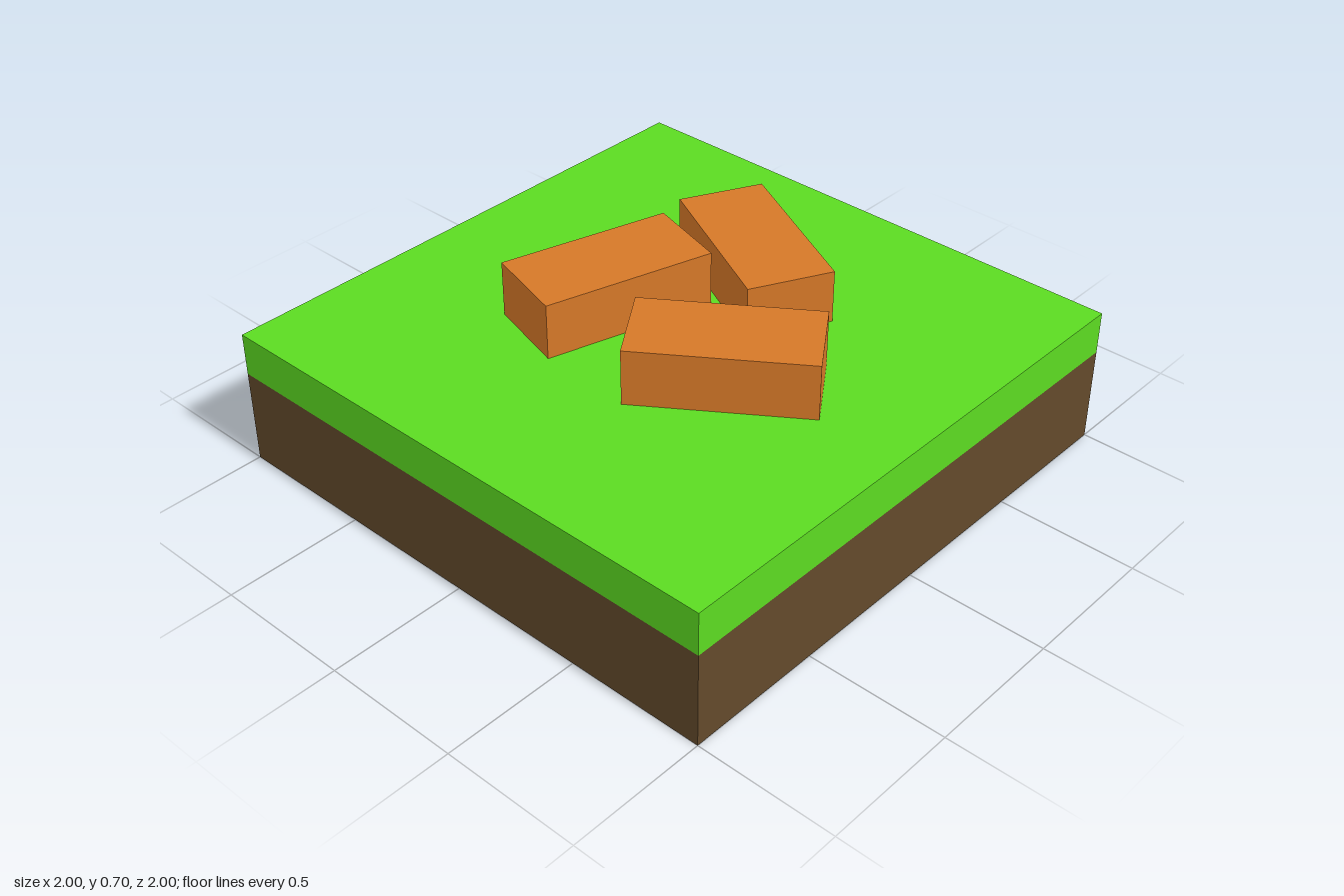
import * as THREE from 'three';

const material = (color) => new THREE.MeshStandardMaterial({ color });

// Box resting with its underside at height y
function block(name, mat, [w, h, d], [x, y, z], turn = 0) {
  const mesh = new THREE.Mesh(new THREE.BoxGeometry(w, h, d), mat);
  mesh.name = name;
  mesh.position.set(x, y + h / 2, z);
  mesh.rotation.y = turn;
  return mesh;
}

export function createModel() {
  const model = new THREE.Group();
  model.name = 'groundTileWithBricks';

  // Square ground tile: soil with a layer of grass on top
  const soilHeight = 0.345, groundHeight = 0.5;
  model.add(
    block('soil', material(0x634a2b), [2, soilHeight, 2], [0, 0, 0]),
    block('grass', material(0x5cdb22), [2, groundHeight - soilHeight, 2], [0, soilHeight, 0])
  );

  // Three loose bricks; the back one sits slightly sunk into the grass
  const clay = material(0xd67828);
  const size = [0.615, 0.305];
  const bricks = [
    { name: 'backBrick', x: 0.026, z: -0.365, turn: -0.471, top: 0.692 },
    { name: 'rightBrick', x: -0.226, z: 0.085, turn: 1.287, top: 0.7 },
    { name: 'leftBrick', x: 0.345, z: 0.145, turn: 0.606, top: 0.7 },
  ];
  for (const { name, x, z, turn, top } of bricks) {
    model.add(block(name, clay, [size[0], 0.21, size[1]], [x, top - 0.21, z], turn));
  }
  return model;
}
